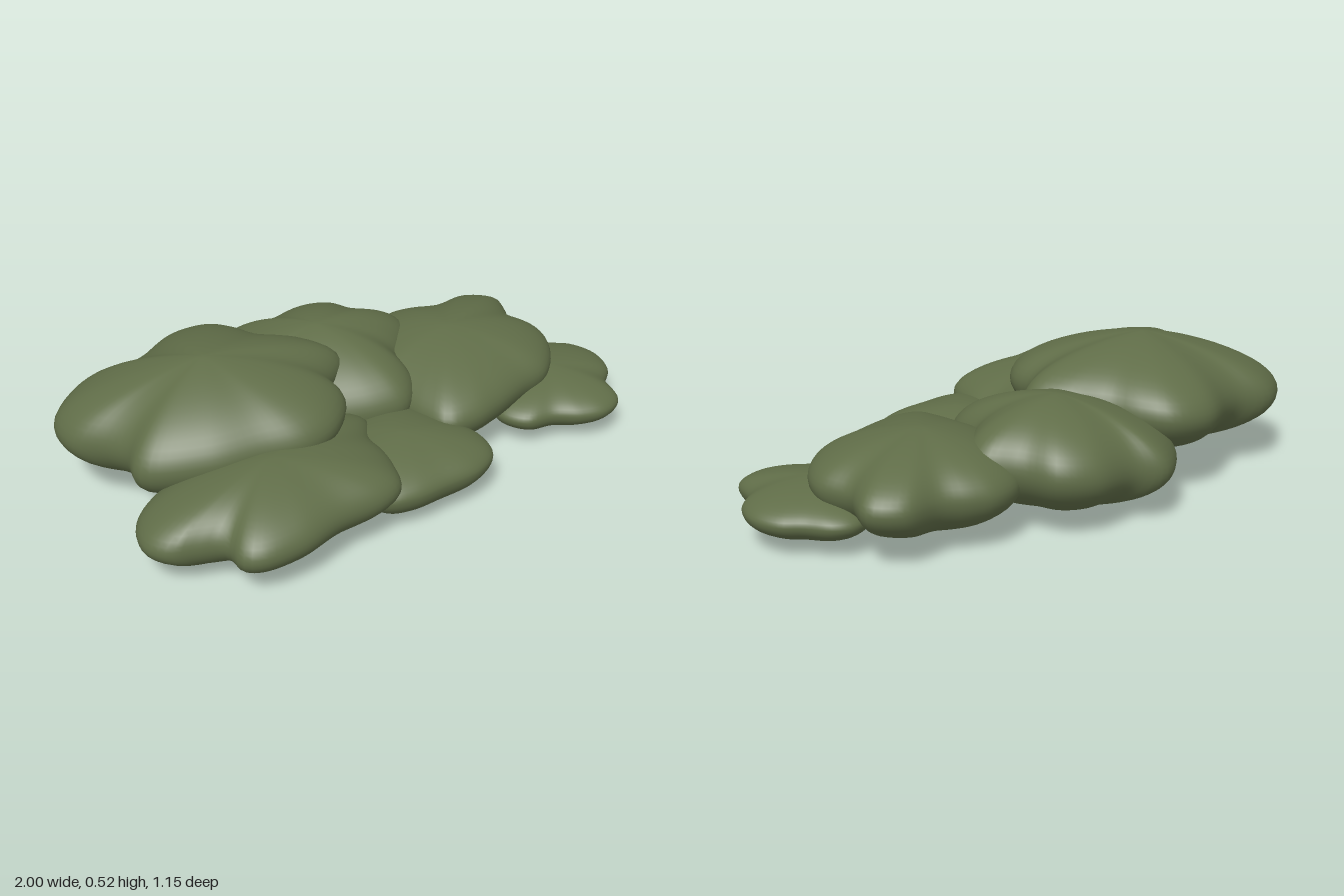
import * as THREE from 'three';
import { mergeVertices } from 'three/addons/utils/BufferGeometryUtils.js';

const AROUND = 96, RINGS = 32;

// Flattened cushion: a wavy outline (x, z pairs) that evens out to an ellipse towards top and bottom.
// A higher taper gives steeper shoulders; the cushion can lean sideways (tiltX) and forwards (tiltZ).
function cushion({ centre: [cx, cz], bottom, rim, top, taper = 1.25, tiltX = 0, tiltZ = 0, outline }) {
  const pts = [];
  for (let i = 0; i < outline.length; i += 2) pts.push(new THREE.Vector3(outline[i] - cx, 0, outline[i + 1] - cz));
  const edge = new THREE.CatmullRomCurve3(pts, true).getSpacedPoints(AROUND).slice(0, AROUND);

  // how far each outline point reaches, relative to the ellipse filling the outline's bounds
  const half = new THREE.Box3().setFromPoints(edge).getSize(new THREE.Vector3()).multiplyScalar(0.5);
  const reach = edge.map((p) => Math.hypot(p.x / half.x, p.z / half.z));
  const mean = reach.reduce((sum, v) => sum + v, 0) / AROUND;

  const positions = [], index = [];
  for (let i = 0; i <= RINGS; i++) {
    const a = Math.PI * (0.5 - i / RINGS);
    const c = Math.max(Math.cos(a), 0);
    const y = rim + Math.sin(a) * (a > 0 ? top - rim : rim - bottom);
    for (let j = 0; j < AROUND; j++) {
      const r = Math.pow(c, taper) * THREE.MathUtils.lerp(mean / reach[j], 1, Math.sqrt(c));
      const dx = edge[j].x * r, dz = edge[j].z * r;
      positions.push(cx + dx, y + tiltX * dx + tiltZ * dz, cz + dz);
      if (i === RINGS) continue;
      const k = (j + 1) % AROUND, p = i * AROUND, q = p + AROUND;
      if (i > 0) index.push(p + j, p + k, q + j);
      if (i < RINGS - 1) index.push(p + k, q + k, q + j);
    }
  }
  let geometry = new THREE.BufferGeometry();
  geometry.setAttribute('position', new THREE.Float32BufferAttribute(positions, 3));
  geometry.setIndex(index);
  geometry = mergeVertices(geometry, 1e-5);
  geometry.computeVertexNormals();
  return geometry;
}

const CLUMPS = {
  backLeftClump: {
    centre: [-0.52, -0.13], bottom: 0.09, rim: 0.31, top: 0.525, taper: 1.45, tiltX: 0.09,
    outline: [-0.98, -0.34, -0.95, -0.42, -0.8, -0.51, -0.67, -0.47, -0.59, -0.48, -0.42, -0.54, -0.27, -0.5,
      -0.2, -0.4, -0.16, -0.29, -0.04, -0.15, -0.01, -0.03, -0.12, 0.06, -0.14, 0.17, -0.25, 0.27, -0.38, 0.29,
      -0.52, 0.24, -0.7, 0.18, -0.89, 0.04, -0.87, -0.07, -0.9, -0.15, -0.97, -0.25],
  },
  backMiddleClump: {
    centre: [0, -0.2], bottom: 0.025, rim: 0.225, top: 0.437, taper: 1.3, tiltX: 0.1,
    outline: [-0.28, -0.51, -0.15, -0.58, -0.05, -0.525, 0.13, -0.52, 0.25, -0.45, 0.3, -0.33, 0.39, -0.22,
      0.38, -0.14, 0.3, -0.06, 0.24, -0.01, 0.2, 0.12, 0.12, 0.185, 0.02, 0.17, -0.12, 0.1, -0.24, 0.03,
      -0.28, -0.1, -0.3, -0.2, -0.36, -0.32, -0.34, -0.44],
  },
  rightClump: {
    centre: [0.44, 0.01], bottom: 0.025, rim: 0.215, top: 0.378, tiltX: 0.04,
    outline: [0.3, -0.32, 0.42, -0.345, 0.5, -0.32, 0.6, -0.265, 0.75, -0.26, 0.84, -0.17, 0.82, -0.1,
      0.79, -0.03, 0.82, 0.1, 0.78, 0.2, 0.67, 0.3, 0.55, 0.32, 0.4, 0.355, 0.28, 0.37, 0.17, 0.34,
      0.14, 0.25, 0.13, 0.17, 0.12, 0.08, 0.11, -0.02, 0.15, -0.14, 0.22, -0.25],
  },
  farRightClump: {
    centre: [0.73, 0.24], bottom: 0.018, rim: 0.13, top: 0.218, tiltX: 0.02,
    outline: [1, 0.22, 0.97, 0.32, 0.9, 0.38, 0.86, 0.49, 0.77, 0.52, 0.68, 0.49, 0.6, 0.43, 0.5, 0.4,
      0.45, 0.31, 0.48, 0.2, 0.55, 0.08, 0.66, -0.01, 0.78, -0.05, 0.85, -0.02, 0.91, 0.06, 0.97, 0.12],
  },
  frontMiddleClump: {
    centre: [0, 0.31], bottom: 0.003, rim: 0.15, top: 0.254,
    outline: [0.28, 0.4, 0.25, 0.5, 0.15, 0.55, 0, 0.55, -0.13, 0.545, -0.22, 0.51, -0.26, 0.42, -0.24, 0.3,
      -0.19, 0.21, -0.13, 0.12, -0.03, 0.06, 0.08, 0.04, 0.17, 0.09, 0.22, 0.2, 0.25, 0.3],
  },
  frontLeftClump: {
    centre: [-0.52, 0.27], bottom: 0.028, rim: 0.18, top: 0.336, tiltX: 0.04, tiltZ: 0.03,
    outline: [-1, 0.25, -0.96, 0.13, -0.87, 0.06, -0.75, 0.03, -0.6, -0.02, -0.45, 0, -0.3, 0.03, -0.15, 0.07,
      -0.05, 0.09, -0.03, 0.15, -0.09, 0.25, -0.1, 0.35, -0.12, 0.42, -0.17, 0.52, -0.25, 0.55, -0.42, 0.545,
      -0.6, 0.575, -0.75, 0.555, -0.8, 0.51, -0.8, 0.42, -0.88, 0.37, -0.96, 0.33],
  },
};

export function createModel() {
  const group = new THREE.Group();
  group.name = 'foliageCluster';
  const leafGreen = new THREE.MeshStandardMaterial({ color: 0x606d48 });
  leafGreen.name = 'leafGreen';
  for (const [name, spec] of Object.entries(CLUMPS)) {
    const mesh = new THREE.Mesh(cushion(spec), leafGreen);
    mesh.name = name;
    group.add(mesh);
  }
  return group;
}
